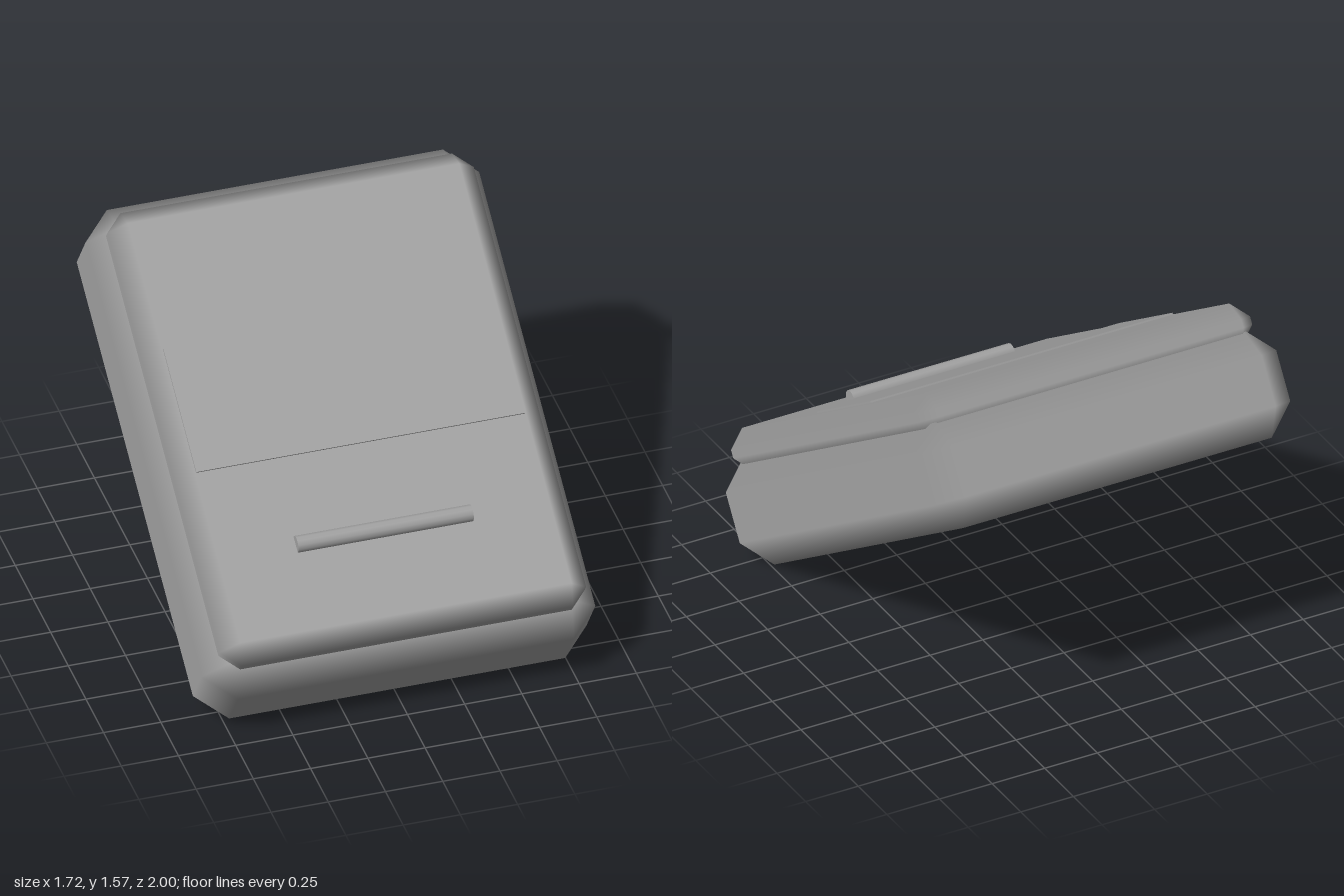
import * as THREE from 'three';

// Box with one flat bevel on every edge; normals follow the main faces so bevels shade softly
function bevelBox(w, h, d, bevel) {
  const half = [w / 2, h / 2, d / 2];
  const pos = [], nor = [], index = [];
  const sign = (corner, axis) => ((corner >> axis) & 1 ? 1 : -1);
  for (let a = 0; a < 3; a++) {
    for (let c = 0; c < 8; c++) {
      for (let k = 0; k < 3; k++) {
        pos.push(sign(c, k) * (k === a ? half[k] : half[k] - bevel));
        nor.push(k === a ? sign(c, k) : 0);
      }
    }
  }
  const at = (i) => new THREE.Vector3().fromArray(pos, i * 3);
  const norm = (i) => new THREE.Vector3().fromArray(nor, i * 3);
  // Adds a triangle, wound to face outward
  const tri = (i, j, k) => {
    const face = at(j).sub(at(i)).cross(at(k).sub(at(i)));
    const out = norm(i).add(norm(j)).add(norm(k));
    if (face.dot(out) > 0) index.push(i, j, k);
    else index.push(i, k, j);
  };
  const quad = (i, j, k, l) => { tri(i, j, k); tri(i, k, l); };

  for (let a = 0; a < 3; a++) {
    const b = 1 << ((a + 1) % 3), c = 1 << ((a + 2) % 3);
    // Main faces
    for (const s of [0, 1 << a]) {
      const o = a * 8 + s;
      quad(o, o + b, o + b + c, o + c);
    }
    // Bevels running along this axis
    const p = ((a + 1) % 3) * 8, q = ((a + 2) % 3) * 8, step = 1 << a;
    for (const corner of [0, b, c, b + c]) {
      quad(p + corner, q + corner, q + corner + step, p + corner + step);
    }
  }
  // Corner triangles
  for (let c = 0; c < 8; c++) tri(c, 8 + c, 16 + c);

  const g = new THREE.BufferGeometry();
  g.setAttribute('position', new THREE.Float32BufferAttribute(pos, 3));
  g.setAttribute('normal', new THREE.Float32BufferAttribute(nor, 3));
  g.setIndex(index);
  return g;
}

export function createModel() {
  const grey = new THREE.MeshStandardMaterial({ color: 0xa3a3a3 });
  grey.name = 'grey';

  const model = new THREE.Group();
  model.name = 'tiltedCase';
  const add = (name, geometry, y, z) => {
    const mesh = new THREE.Mesh(geometry, grey);
    mesh.name = name;
    mesh.position.set(0, y, z);
    tilted.add(mesh);
    return mesh;
  };

  // Everything lies in one tilted frame
  const tilted = new THREE.Group();
  tilted.name = 'case';
  tilted.rotation.x = 0.5896;
  model.add(tilted);

  add('body', bevelBox(1.72, 0.472, 2.231, 0.126), 0.618, -0.4275);
  add('frontPlate', bevelBox(1.6, 0.188, 2.066, 0.076), 0.875, -0.428);
  // Thin raised panel on the plate
  add('panel', new THREE.BoxGeometry(1.436, 0.009, 0.562), 0.972, -0.527);
  // Round bar half sunk into the plate
  const bar = new THREE.CylinderGeometry(0.037, 0.037, 0.766, 12);
  bar.rotateZ(Math.PI / 2);
  add('handleBar', bar, 0.974, 0.146);

  return model;
}
